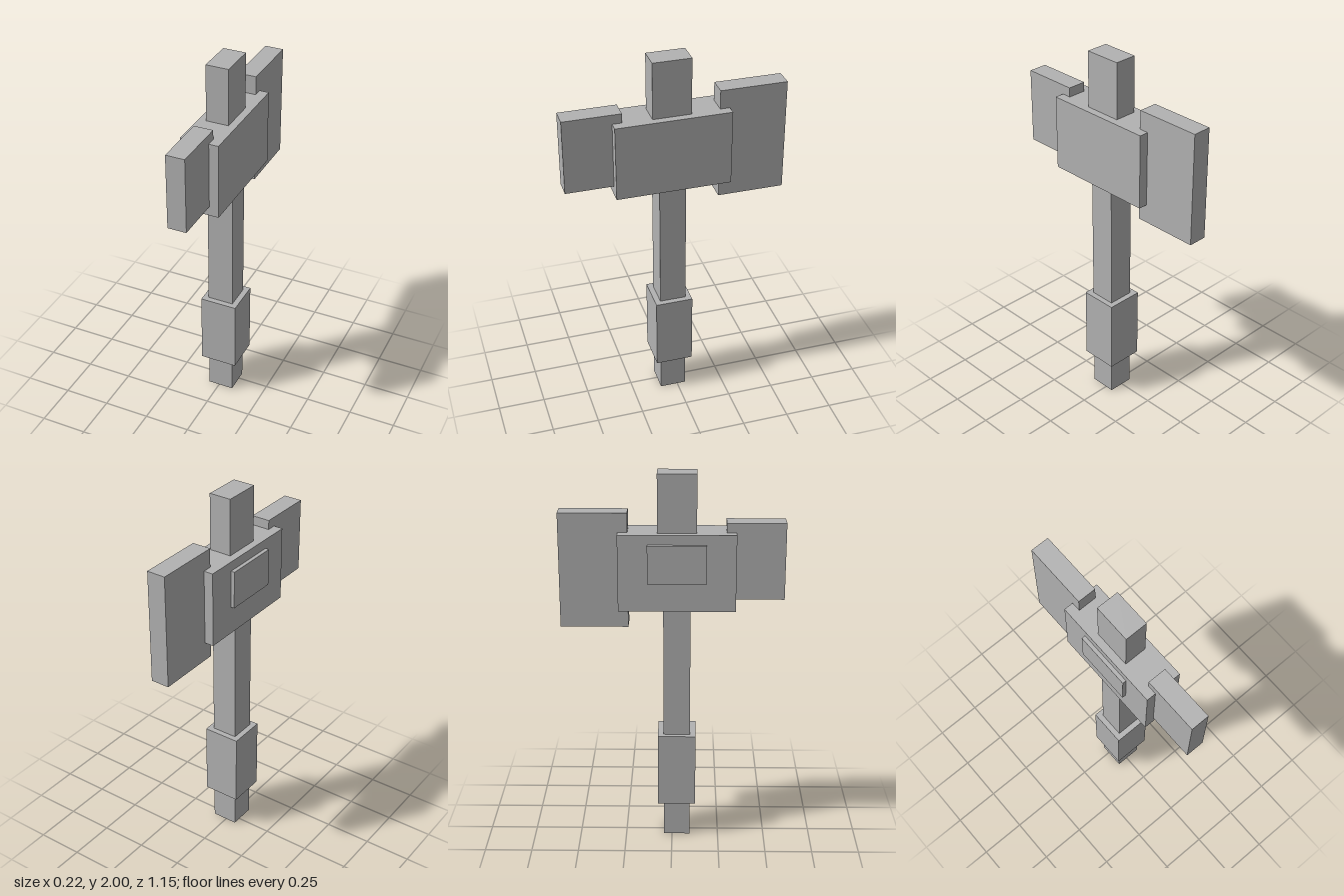
import * as THREE from 'three';

export function createModel() {
  const group = new THREE.Group();
  group.name = 'battleAxe';
  const metal = new THREE.MeshStandardMaterial({ color: 0xb2b2b2 });
  metal.name = 'plain grey';

  // Box given by its size and centre, with y0 as the bottom height
  const addBox = (name, [w, h, d], [x, y0, z]) => {
    const mesh = new THREE.Mesh(new THREE.BoxGeometry(w, h, d), metal);
    mesh.name = name;
    mesh.position.set(x, y0 + h / 2, z);
    group.add(mesh);
  };

  // The shaft axis sits slightly off the centre of the bounds
  const X = 0.01, Z = 0.025;

  // Shaft, grip and top spike
  addBox('shaft', [0.14, 1.3, 0.14], [X, 0, Z]);
  addBox('grip', [0.2, 0.4, 0.2], [X, 0.2, Z]);
  addBox('topSpike', [0.12, 0.3, 0.2], [X, 1.7, Z]);

  // Head block with its raised side plate
  addBox('head', [0.2, 0.4, 0.6], [X, 1.3, Z]);
  addBox('sidePlate', [0.02, 0.2, 0.3], [X - 0.11, 1.45, Z]);

  // Small front blade and large rear blade, both sunk into the head
  addBox('frontBlade', [0.1, 0.4, 0.3], [X, 1.35, 0.425]);
  addBox('rearBlade', [0.1, 0.6, 0.35], [X, 1.2, -0.4]);

  return group;
}
